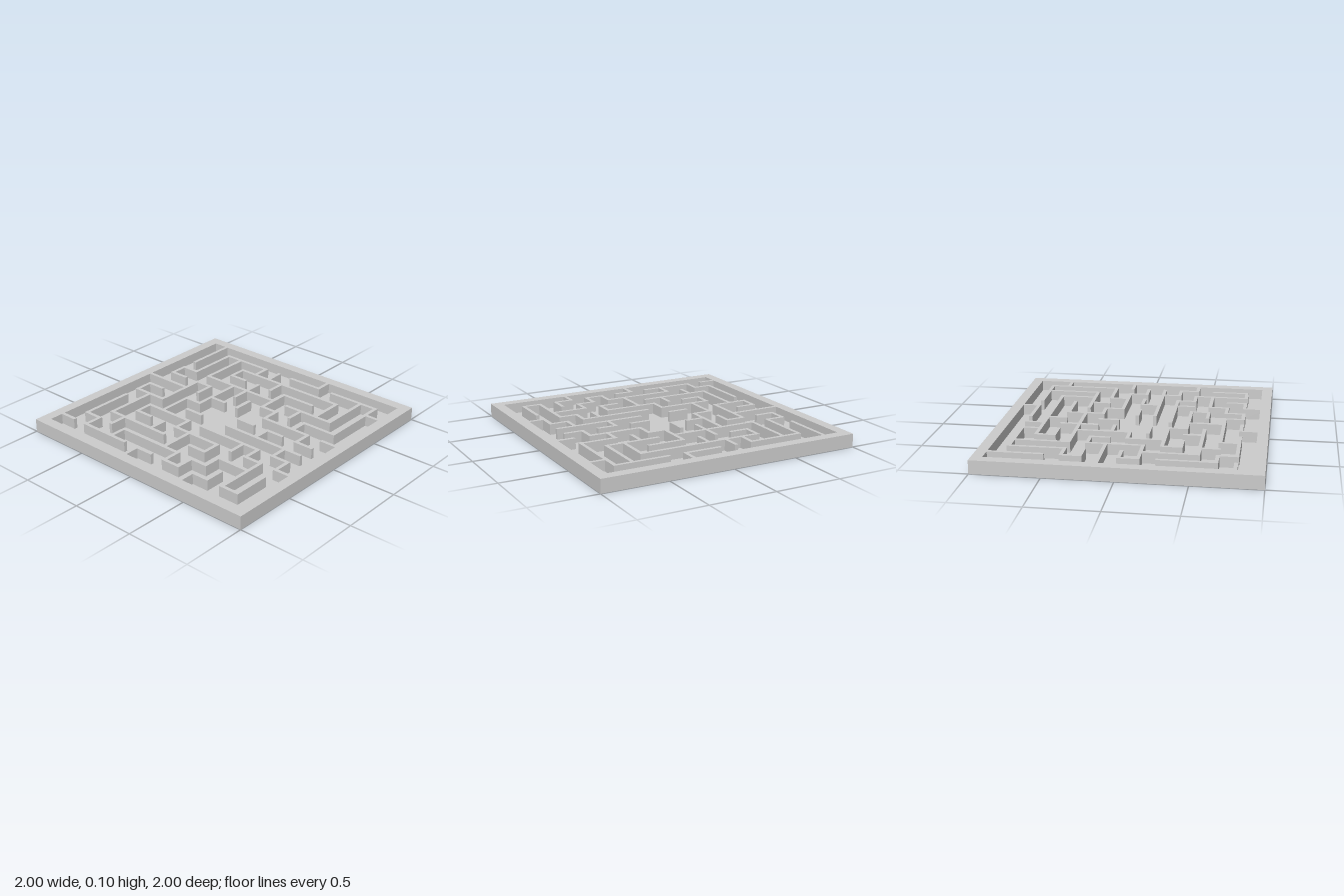
import * as THREE from 'three';

const PITCH = 2 / 15;   // spacing of the maze grid
const WALL = 0.027;     // wall thickness
const FLOOR = 0.02;     // floor slab thickness
const TOP = 0.1;        // overall height

// Horizontal walls: row z -> [x start, x end] pairs in grid steps
const ROWS = {
  '-6': [[-5, -2], [-1, 0], [2, 3], [4, 7]],
  '-5': [[-6, -5], [-4, -1], [3, 6]],
  '-4': [[-5, -4], [-3, -2], [-1, 2], [3, 6]],
  '-3': [[-6, -5], [-2, 0], [1, 2], [4, 5]],
  '-2': [[-4, -3], [0, 3], [5, 6]],
  '-1': [[-7, -6], [-3, -2], [2, 4], [5, 6]],
  '0': [[-5, -3], [1, 2], [4, 5]],
  '1': [[-6, -5], [2, 4]],
  '2': [[-6, -5], [-4, -3], [1, 2], [6, 7]],
  '3': [[-7, -6], [-5, -4], [-3, -2], [-1, 0], [2, 3]],
  '4': [[-6, -5], [-3, -2], [1, 2], [3, 5]],
  '5': [[-6, -3], [-2, -1], [0, 1], [3, 6]],
  '6': [[-6, -4], [-3, -2], [2, 6]],
};

// Vertical walls: column x -> [z start, z end] pairs in grid steps
const COLUMNS = {
  '-6': [[-7, -6], [-5, -2], [-1, 0], [1, 2], [3, 4], [5, 6]],
  '-5': [[-6, -5], [-3, 0], [0, 1], [2, 3]],
  '-4': [[-5, -1], [1, 2], [3, 5]],
  '-3': [[-4, -3], [-1, 2], [4, 5], [6, 7]],
  '-2': [[-4, -1], [0, 4], [5, 6]],
  '-1': [[-6, -4], [-2, -1], [1, 6]],
  '0': [[-6, -5], [-3, -2], [1, 2], [3, 4], [5, 6]],
  '1': [[-7, -4], [-2, -1], [2, 5], [6, 7]],
  '2': [[-6, -5], [-4, -3], [1, 2], [4, 6]],
  '3': [[-6, -5], [-4, 1], [2, 5]],
  '4': [[-3, -2], [1, 3]],
  '5': [[-3, 4], [6, 7]],
  '6': [[-5, -2], [0, 2], [3, 6]],
};

export function createModel() {
  const model = new THREE.Group();
  model.name = 'maze';
  const material = new THREE.MeshStandardMaterial({ color: 0xcccccc });

  const add = (geometry, name, parent = model) => {
    const mesh = new THREE.Mesh(geometry, material);
    mesh.name = name;
    parent.add(mesh);
    return mesh;
  };

  // Floor slab
  add(new THREE.BoxGeometry(2, FLOOR, 2), 'floor').position.y = FLOOR / 2;

  // Square rim around the maze
  const square = (Type, r) => new Type([[-r, -r], [r, -r], [r, r], [-r, r]].map(([x, y]) => new THREE.Vector2(x, y)));
  const frame = square(THREE.Shape, 1);
  frame.holes.push(square(THREE.Path, 7 * PITCH - WALL / 2));
  const rim = new THREE.ExtrudeGeometry(frame, { depth: TOP - FLOOR, bevelEnabled: false });
  rim.rotateX(-Math.PI / 2).translate(0, FLOOR, 0);
  add(rim, 'outerRim');

  // Inner walls
  const walls = new THREE.Group();
  walls.name = 'innerWalls';
  model.add(walls);
  const addWalls = (table, alongX) => {
    for (const [line, spans] of Object.entries(table)) {
      for (const [start, end] of spans) {
        const length = (end - start) * PITCH + WALL;
        const middle = ((start + end) / 2) * PITCH;
        const across = Number(line) * PITCH;
        const wall = add(
          new THREE.BoxGeometry(alongX ? length : WALL, TOP - FLOOR, alongX ? WALL : length),
          alongX ? 'crossWall' : 'lengthWall', walls);
        wall.position.set(alongX ? middle : across, (TOP + FLOOR) / 2, alongX ? across : middle);
      }
    }
  };
  addWalls(ROWS, true);
  addWalls(COLUMNS, false);

  return model;
}
